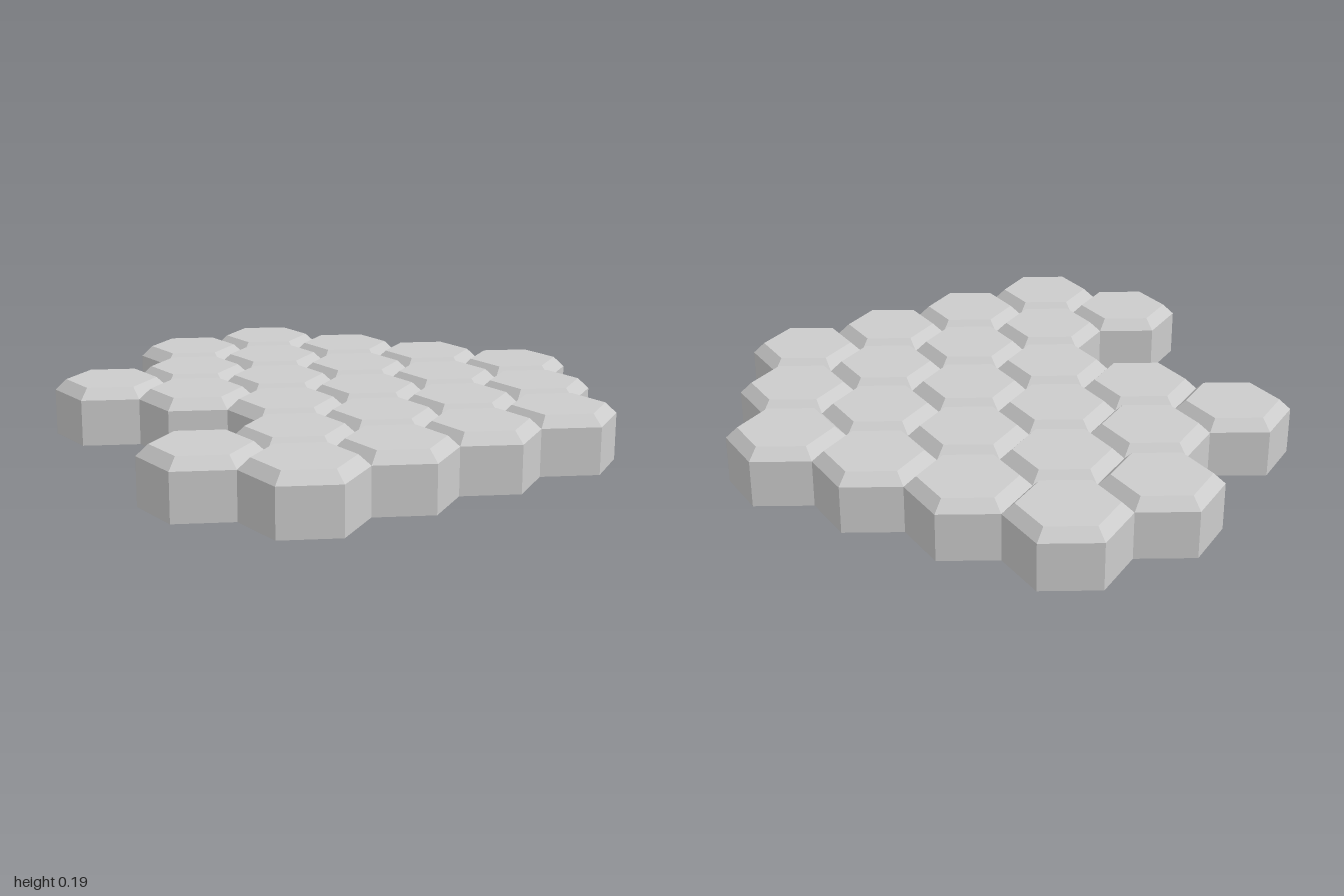
import * as THREE from 'three';

const PITCH = 1 / 3;                   // distance between tile centres along a column
const RADIUS = PITCH / Math.sqrt(3);   // corner radius of a tile
const TOP_RADIUS = 0.154;
const WALL = 0.156;
const HEIGHT = 0.192;

// Columns from -x to +x: tile positions along z, in half pitches
const COLUMNS = [
  [-1],
  [-4, -2, 0, 4],
  [-5, -3, -1, 1, 3, 5],
  [-4, -2, 0, 2, 4],
  [-3, -1, 1, 3],
  [-2, 0, 2],
];

// Six-sided tile with a bevelled top edge, corners pointing along x
function tileGeometry() {
  const profile = [[0, 0], [RADIUS, 0], [RADIUS, WALL], [TOP_RADIUS, HEIGHT], [0, HEIGHT]]
    .map(([x, y]) => new THREE.Vector2(x, y));
  return new THREE.LatheGeometry(profile, 6, Math.PI / 6);
}

export function createModel() {
  const group = new THREE.Group();
  group.name = 'hexTileField';
  const material = new THREE.MeshStandardMaterial({ color: 0xcccccc, flatShading: true });
  const geometry = tileGeometry();

  // Honeycomb of identical tiles
  COLUMNS.forEach((rows, i) => {
    const column = new THREE.Group();
    column.name = `tileColumn${i + 1}`;
    column.position.x = (i - (COLUMNS.length - 1) / 2) * 1.5 * RADIUS;
    rows.forEach((row, j) => {
      const tile = new THREE.Mesh(geometry, material);
      tile.name = `hexTile${j + 1}`;
      tile.position.z = row * PITCH / 2;
      column.add(tile);
    });
    group.add(column);
  });
  return group;
}
